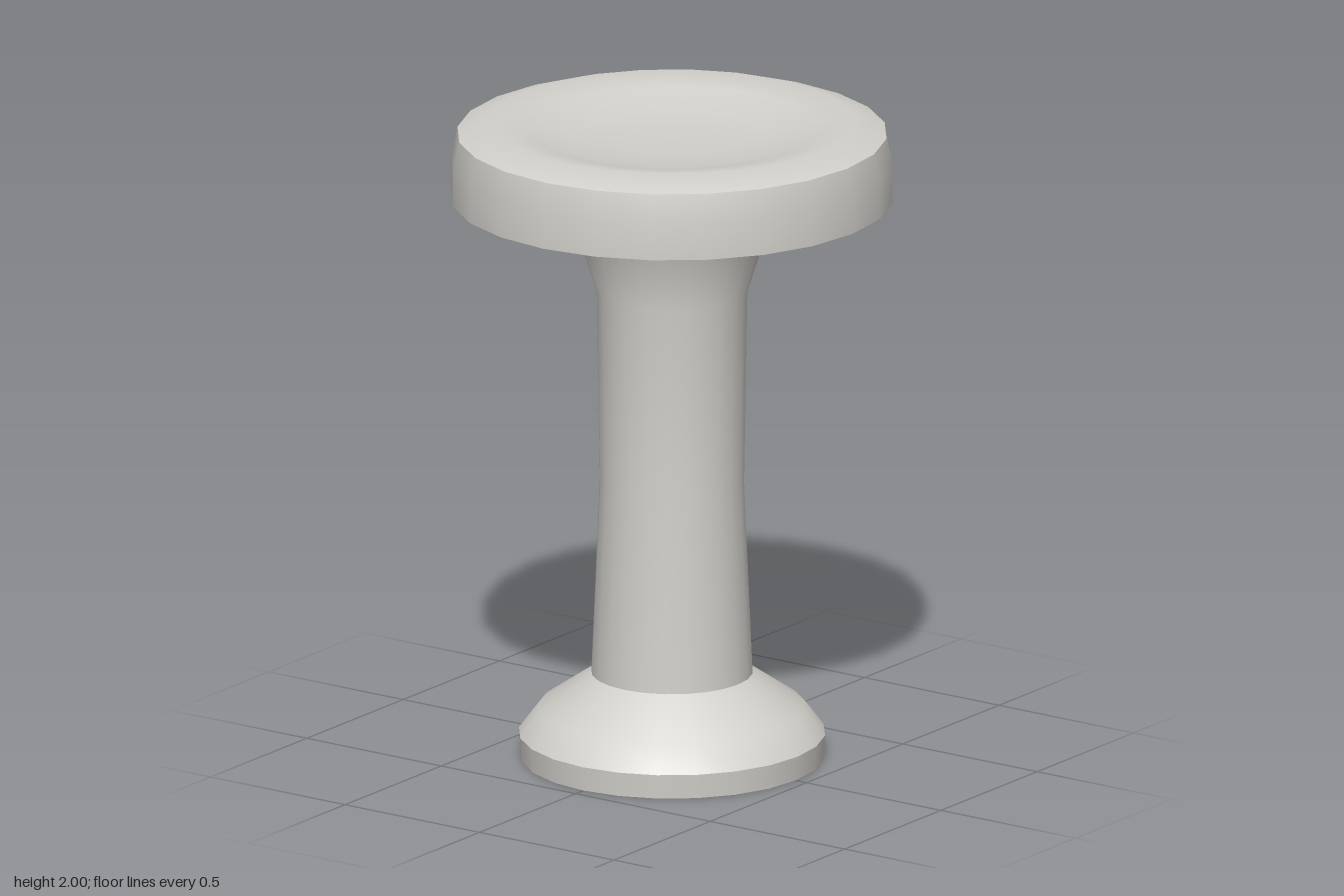
import * as THREE from 'three';

const SIDES = 24;

export function createModel() {
  const group = new THREE.Group();
  group.name = 'pedestalStool';
  const stone = new THREE.MeshStandardMaterial({ color: 0xd2d0ca });
  stone.name = 'paleGrey';

  // Each part is a turned band [radius, height]; edges between bands stay sharp
  const turn = (name, profile) => {
    const points = profile.map(([r, y]) => new THREE.Vector2(r, y));
    const mesh = new THREE.Mesh(new THREE.LatheGeometry(points, SIDES), stone);
    mesh.name = name;
    group.add(mesh);
  };

  // Foot
  turn('footUnderside', [[0, 0], [0.46, 0]]);
  turn('footRim', [[0.46, 0], [0.465, 0.075]]);
  turn('footShoulder', [[0.465, 0.075], [0.405, 0.155], [0.245, 0.265]]);

  // Slightly waisted column with a flared neck
  turn('column', [[0.245, 0.265], [0.219, 0.87], [0.229, 1.47], [0.287, 1.65]]);

  // Seat with a shallow dished top
  turn('seatUnderside', [[0.287, 1.65], [0.67, 1.762]]);
  turn('seatRim', [[0.67, 1.762], [0.67, 1.88], [0.652, 1.965]]);
  turn('seatTop', [[0.652, 1.965], [0.55, 2], [0.44, 1.98], [0.3, 1.945], [0.15, 1.937], [0, 1.935]]);

  return group;
}
